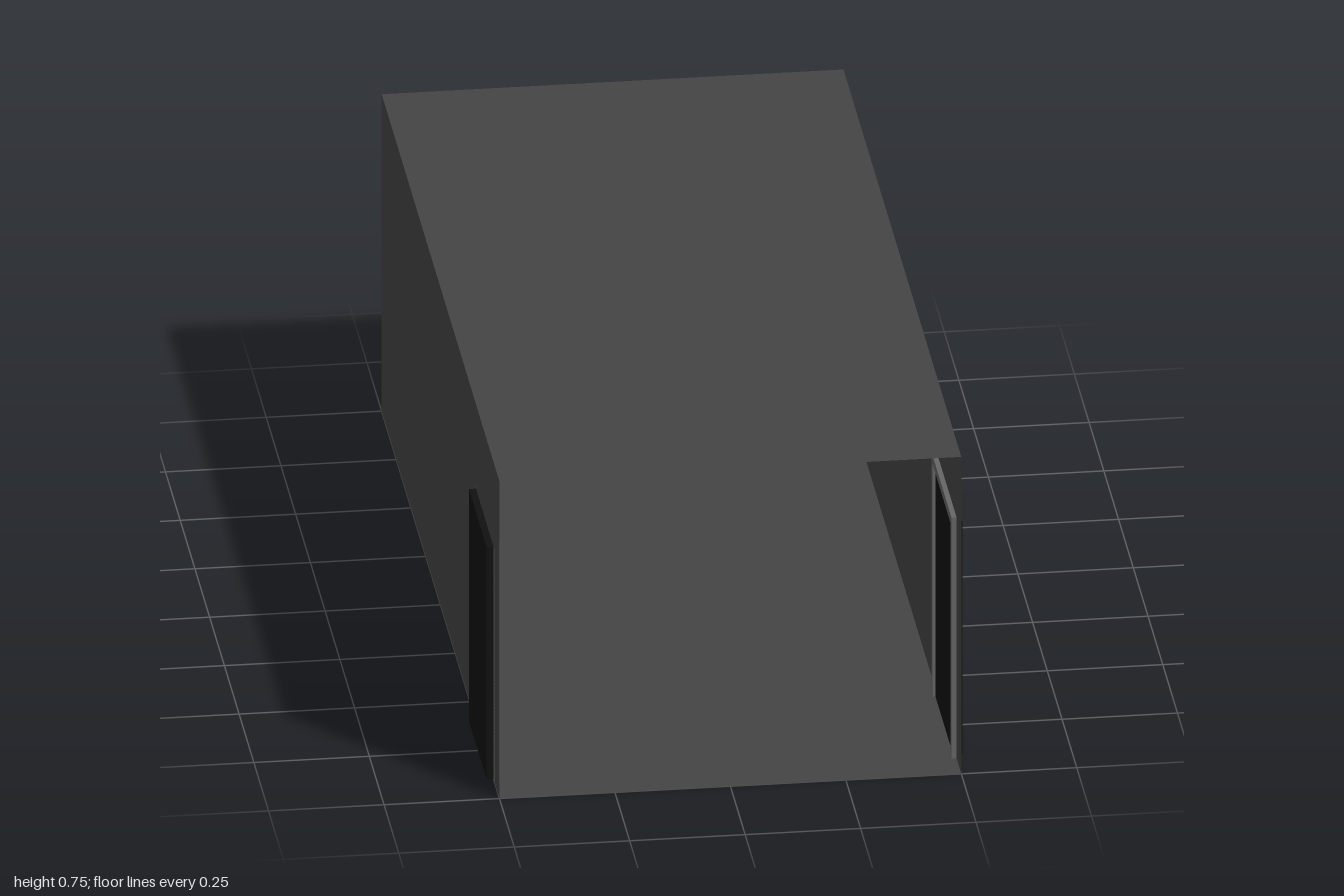
import * as THREE from 'three';

const W = 1, H = 0.75, L = 2;              // shell width, height, length
const DOOR_Z = 0.75, DOOR_W = 0.3, DOOR_H = 0.55, TRIM = 0.02;

const shellMat = new THREE.MeshStandardMaterial({ color: 0x444444, side: THREE.DoubleSide });
const doorMat = new THREE.MeshStandardMaterial({ color: 0x111111 });
const frameMat = new THREE.MeshStandardMaterial({ color: 0x666666 });

function add(parent, name, geometry, material, x, y, z) {
  const mesh = new THREE.Mesh(geometry, material);
  mesh.name = name;
  mesh.position.set(x, y, z);
  parent.add(mesh);
  return mesh;
}

export function createModel() {
  const model = new THREE.Group();
  model.name = 'openEndedCorridor';

  // Thin floor and roof, open at both ends
  const slab = new THREE.PlaneGeometry(W, L);
  add(model, 'floor', slab, shellMat, 0, 0, 0).rotation.x = -Math.PI / 2;
  add(model, 'roof', slab, shellMat, 0, H, 0).rotation.x = -Math.PI / 2;

  for (const side of [-1, 1]) {
    const label = side > 0 ? 'left' : 'right';

    // Thin side wall, facing outward
    const wall = add(model, label + 'Wall', new THREE.PlaneGeometry(L, H), shellMat, side * W / 2, H / 2, 0);
    wall.rotation.y = side * Math.PI / 2;

    // Door panel standing proud of the wall outside
    add(model, label + 'Door', new THREE.BoxGeometry(0.02, DOOR_H, DOOR_W), doorMat,
      side * 0.505, DOOR_H / 2, DOOR_Z);

    // Door frame on the inside of the wall
    const frame = new THREE.Group();
    frame.name = label + 'DoorFrame';
    const x = side * 0.4945, depth = 0.011;
    for (const end of [-1, 1]) {
      add(frame, 'jamb', new THREE.BoxGeometry(depth, DOOR_H, TRIM), frameMat,
        x, DOOR_H / 2, DOOR_Z + end * (DOOR_W + TRIM) / 2);
    }
    add(frame, 'lintel', new THREE.BoxGeometry(depth, TRIM, DOOR_W + 2 * TRIM), frameMat,
      x, DOOR_H + TRIM / 2, DOOR_Z);
    model.add(frame);
  }
  return model;
}
